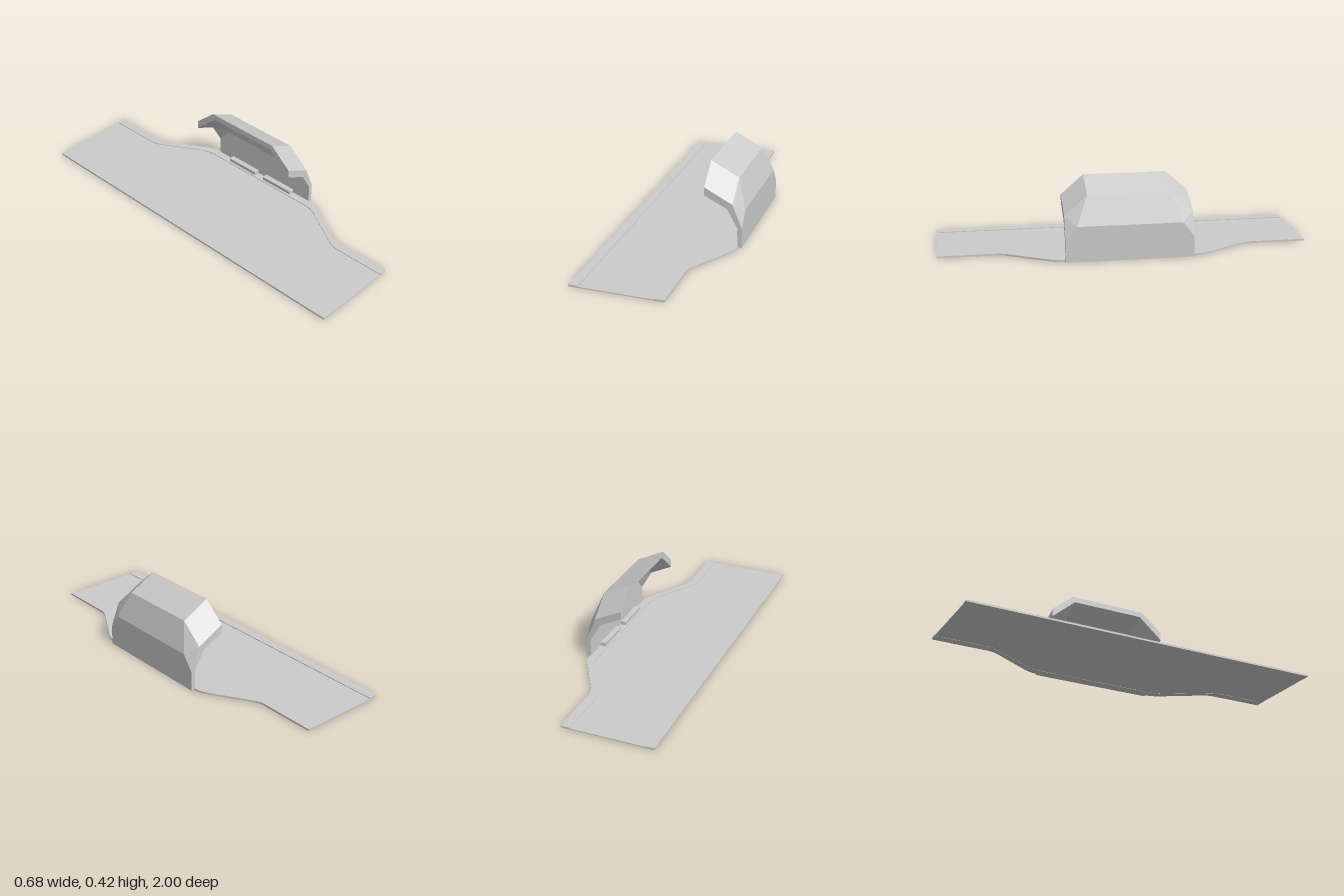
import * as THREE from 'three';

const material = new THREE.MeshStandardMaterial({ color: 0xcccccc, flatShading: true });

function addMesh(parent, geometry, name) {
  const mesh = new THREE.Mesh(geometry, material);
  mesh.name = name;
  parent.add(mesh);
  return mesh;
}

// Flat slab from an outline of [x, z] points, spanning y = bottom..top
function slab(outline, bottom, top) {
  const shape = new THREE.Shape(outline.map(([x, z]) => new THREE.Vector2(x, z)));
  const geometry = new THREE.ExtrudeGeometry(shape, { depth: top - bottom, bevelEnabled: false });
  return geometry.rotateX(Math.PI / 2).translate(0, top, 0);
}

// Shell from cross-sections: x, then height and half width at the side edge and at the crown
const OUTER = [
  [0.135, 0.315, 0.34, 0.418, 0.22],
  [0.287, 0.238, 0.34, 0.341, 0.22],
  [0.34, 0.108, 0.34, 0.19, 0.28],
  [0.34, 0, 0.34, 0, 0.28],
];
const INNER = [
  [0.135, 0.27, 0.34, 0.387, 0.205],
  [0.258, 0.21, 0.34, 0.325, 0.205],
  [0.318, 0.105, 0.34, 0.18, 0.27],
  [0.318, 0, 0.34, 0, 0.27],
];

function shelterGeometry() {
  const ring = ([x, ye, ze, yc, zc]) => [[x, ye, ze], [x, yc, zc], [x, yc, -zc], [x, ye, -ze]];
  const O = OUTER.map(ring);
  const I = INNER.map(ring);
  const positions = [];
  const quad = (a, b, c, d) => positions.push(...a, ...b, ...c, ...a, ...c, ...d);

  for (let i = 0; i < 3; i++) {
    // outside and inside skins, with mirrored diagonals on the two sides
    for (let j = 0; j < 3; j++) {
      const corners = (S) => {
        const q = [S[i][j], S[i + 1][j], S[i + 1][j + 1], S[i][j + 1]];
        return j === 2 ? [q[1], q[2], q[3], q[0]] : q;
      };
      const [a, b, c, d] = corners(I);
      quad(...corners(O));
      quad(a, d, c, b);
    }
    // side rims
    quad(O[i][0], I[i][0], I[i + 1][0], O[i + 1][0]);
    quad(O[i][3], O[i + 1][3], I[i + 1][3], I[i][3]);
  }
  // roof lip and foot
  for (let j = 0; j < 3; j++) {
    quad(O[0][j], O[0][j + 1], I[0][j + 1], I[0][j]);
    quad(I[3][j + 1], O[3][j + 1], O[3][j], I[3][j]);
  }
  const geometry = new THREE.BufferGeometry();
  geometry.setAttribute('position', new THREE.Float32BufferAttribute(positions, 3));
  geometry.computeVertexNormals();
  return geometry;
}

export function createModel() {
  const model = new THREE.Group();
  model.name = 'busStop';

  // Kerb line that swells out around the shelter, mirrored in z
  const half = [[0.157, 1], [0.157, 0.69], [0.161, 0.665], [0.17, 0.64], [0.302, 0.42],
    [0.315, 0.39], [0.322, 0.365], [0.325, 0.335]];
  const kerbLine = [...half, ...half.map(([x, z]) => [x, -z]).reverse()];

  // Inner kerb line, set back so the kerb keeps its width on the slanted runs
  const innerHalf = half.map(([x, z], i) => [x - 0.049, i === 0 ? z : z + (i < 4 ? 0.02 : 0.015) * (i < 7 ? 1 : 0.5)]);
  const innerLine = [...innerHalf, ...innerHalf.map(([x, z]) => [x, -z]).reverse()];

  // Road surface
  addMesh(model, slab([[-0.29, 1], ...innerLine, [-0.29, -1]], 0.001, 0.006), 'road');

  // Straight and curved kerbs
  addMesh(model, slab([[-0.34, -1], [-0.29, -1], [-0.29, 1], [-0.34, 1]], 0, 0.01), 'straightKerb');
  addMesh(model, slab([...kerbLine, ...innerLine.reverse()], 0, 0.01), 'curvedKerb');

  // Shelter with sloping, chamfered roof
  addMesh(model, shelterGeometry(), 'shelter');

  // Pair of benches
  for (const side of [1, -1]) {
    const bench = addMesh(model, new THREE.BoxGeometry(0.03, 0.02, 0.2), side > 0 ? 'frontBench' : 'backBench');
    bench.position.set(0.298, 0.025, side * 0.13);
  }
  return model;
}
